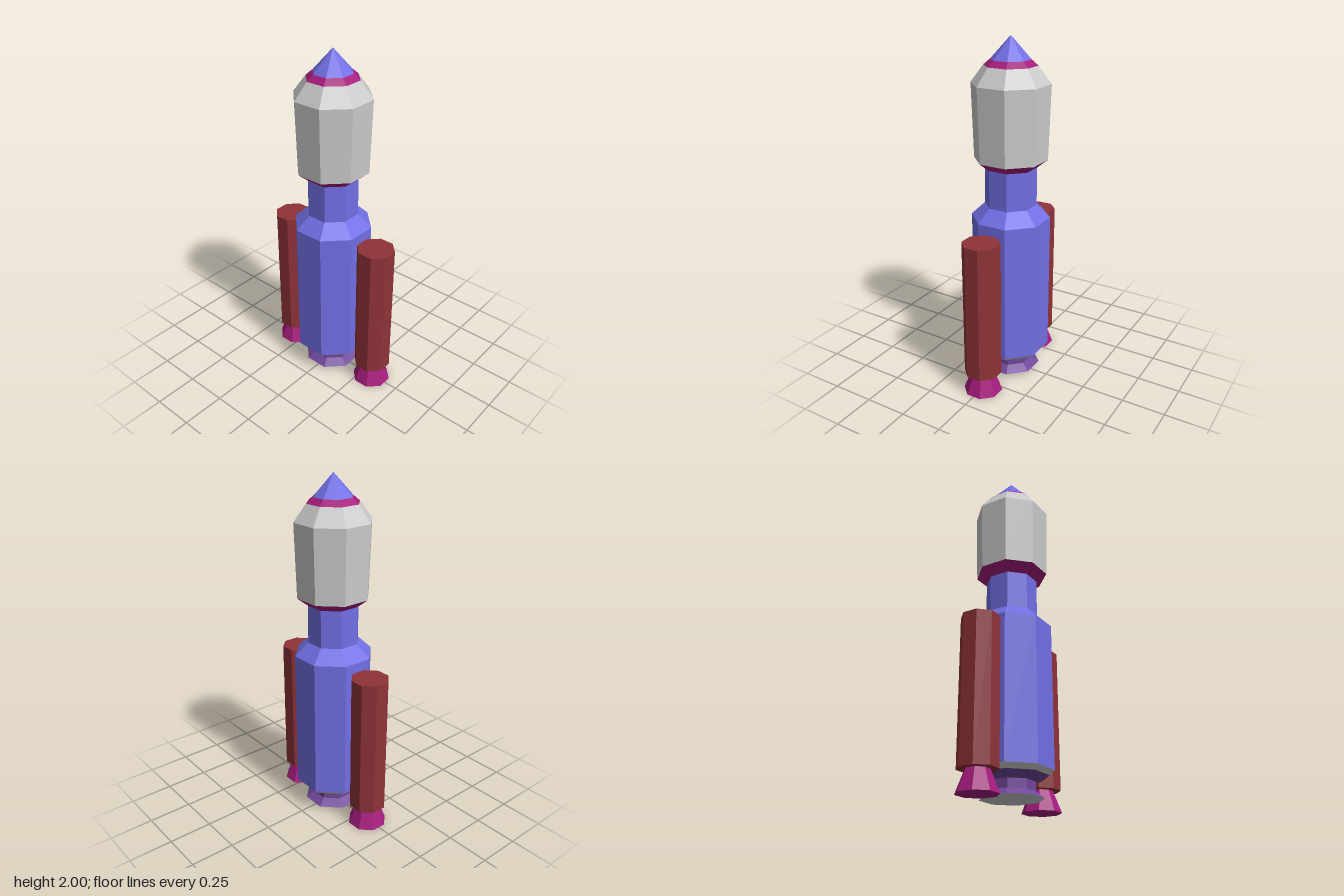
import * as THREE from 'three';

const SIDES = 8;
const APOTHEM = Math.cos(Math.PI / SIDES);

const material = (color) => new THREE.MeshStandardMaterial({ color, flatShading: true });

export function createModel() {
  const blue = material(0x726fe5);
  const grey = material(0xcccccc);
  const magenta = material(0xa51c7d);
  const red = material(0x8f3338);
  const purple = material(0x70479a);

  // Octagonal section; radii are measured to the flats, which face the axes
  function section(parent, name, mat, y0, r0, y1, r1, open = true) {
    const geo = new THREE.CylinderGeometry(r1 / APOTHEM, r0 / APOTHEM, y1 - y0, SIDES, 1, open);
    geo.rotateY(Math.PI / SIDES);
    const mesh = new THREE.Mesh(geo, mat);
    mesh.name = name;
    mesh.position.y = (y0 + y1) / 2;
    parent.add(mesh);
    return mesh;
  }

  const rocket = new THREE.Group();
  rocket.name = 'rocket';

  // Main engine, from the bell upwards
  section(rocket, 'engineBell', purple, 0.025, 0.16, 0.062, 0.118);
  section(rocket, 'engineNeck', purple, 0.062, 0.118, 0.112, 0.118);
  section(rocket, 'engineMount', purple, 0.112, 0.118, 0.142, 0.185);
  section(rocket, 'baseRing', grey, 0.142, 0.185, 0.168, 0.21);

  // Grey disc closing the bell
  const disc = new THREE.Mesh(new THREE.CircleGeometry(0.16 / APOTHEM, SIDES, Math.PI / SIDES), grey);
  disc.name = 'engineOutlet';
  disc.rotation.x = Math.PI / 2;
  disc.position.y = 0.025;
  rocket.add(disc);

  // Core stage and neck
  section(rocket, 'coreStage', blue, 0.168, 0.21, 0.99, 0.21);
  section(rocket, 'coreShoulder', blue, 0.99, 0.21, 1.065, 0.137);
  section(rocket, 'upperStage', blue, 1.065, 0.137, 1.285, 0.137);

  // Payload fairing and nose
  section(rocket, 'fairingCollar', magenta, 1.285, 0.137, 1.332, 0.192);
  section(rocket, 'fairing', grey, 1.332, 0.192, 1.75, 0.203);
  section(rocket, 'fairingShoulder', grey, 1.75, 0.203, 1.845, 0.137);
  section(rocket, 'noseRing', magenta, 1.845, 0.137, 1.876, 0.103);
  section(rocket, 'noseCone', blue, 1.876, 0.103, 2, 0);

  // Side boosters
  for (const side of [1, -1]) {
    const booster = new THREE.Group();
    booster.name = side > 0 ? 'leftBooster' : 'rightBooster';
    booster.position.x = side * 0.313;
    section(booster, 'boosterBody', red, 0.12, 0.1, 0.935, 0.1, false);
    section(booster, 'boosterNozzle', magenta, 0, 0.104, 0.12, 0.06, false);
    rocket.add(booster);
  }

  return rocket;
}
